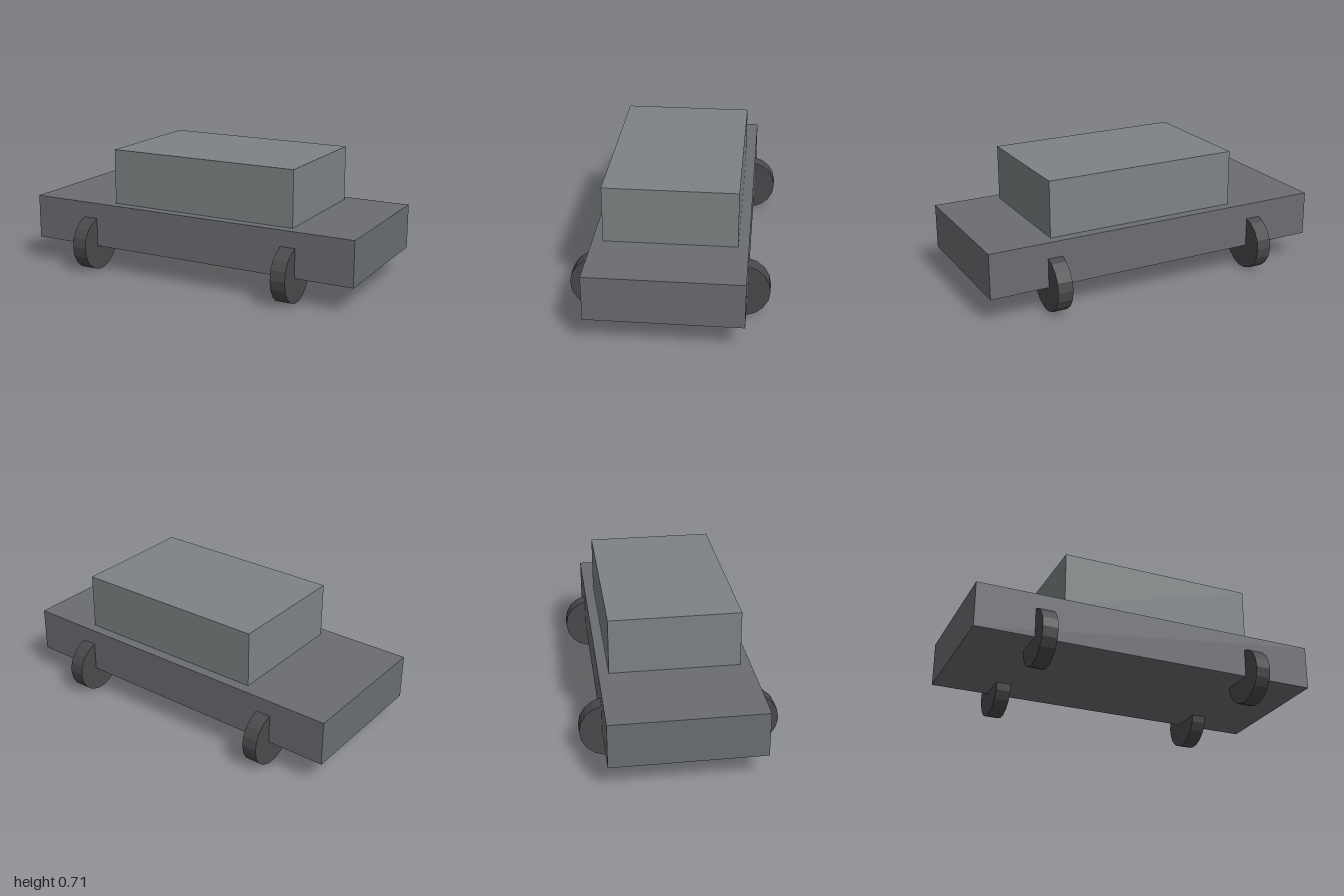
import * as THREE from 'three';

const paint = (color) => new THREE.MeshStandardMaterial({ color, flatShading: true });

export function createModel() {
  const model = new THREE.Group();
  model.name = 'car';

  const add = (name, geometry, material, x, y, z) => {
    const mesh = new THREE.Mesh(geometry, material);
    mesh.name = name;
    mesh.position.set(x, y, z);
    model.add(mesh);
  };

  // Body slab and the cabin standing on it, set slightly towards +x
  add('body', new THREE.BoxGeometry(2, 0.254, 0.834), paint(0x6a6d72), 0, 0.27, 0);
  add('cabin', new THREE.BoxGeometry(1.117, 0.315, 0.719), paint(0x7d8385), 0.07, 0.5545, 0);

  // Four 18-sided wheels turning about x, half sunk into the body
  const wheel = new THREE.CylinderGeometry(0.157, 0.157, 0.085, 18).rotateZ(Math.PI / 2);
  const rubber = paint(0x4a4a4d);
  for (const [side, x] of [['left', 0.628], ['right', -0.628]]) {
    for (const [end, z] of [['Front', 0.3825], ['Back', -0.3825]]) {
      add(`${side}${end}Wheel`, wheel, rubber, x, 0.155, z);
    }
  }

  return model;
}
